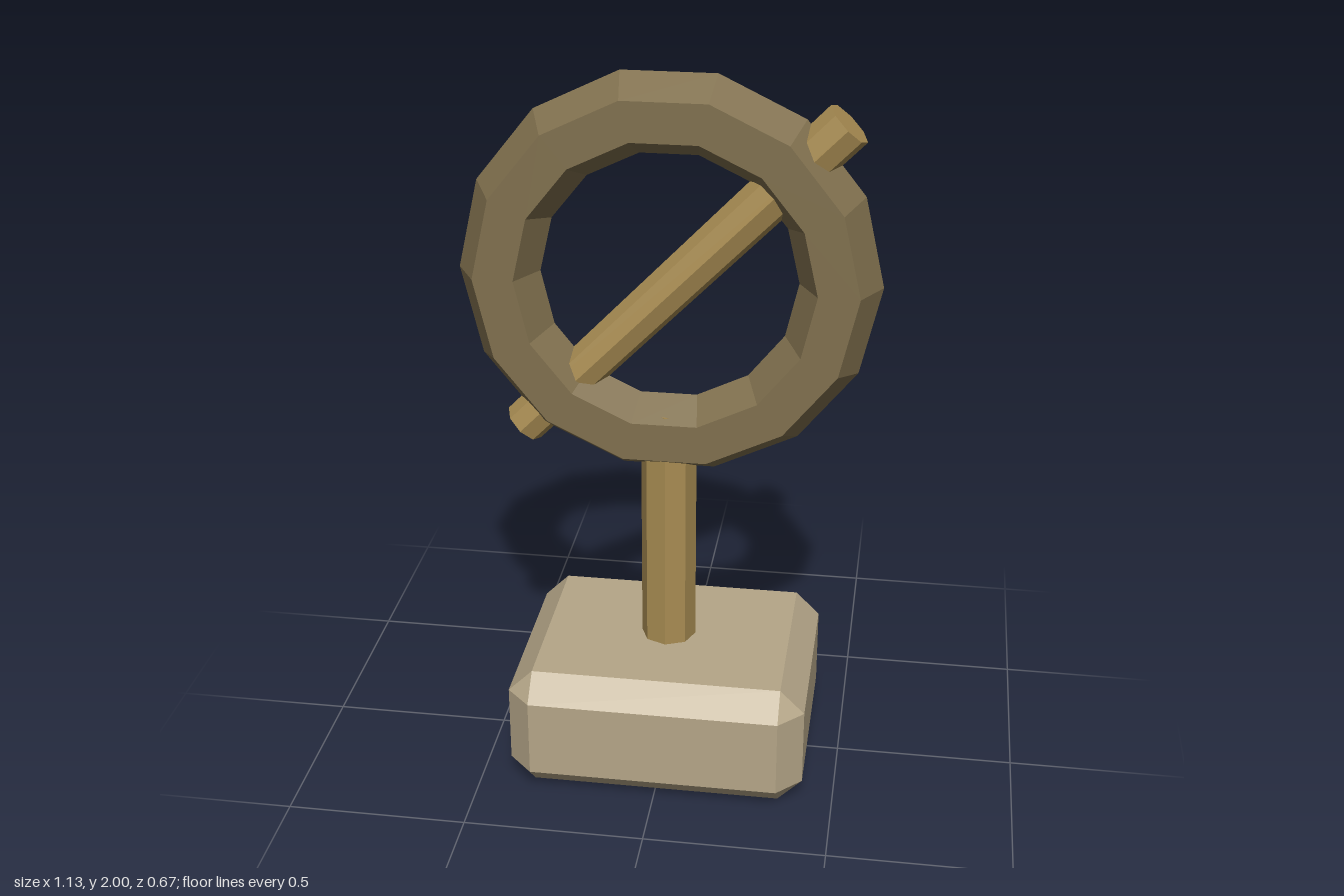
import * as THREE from 'three';
import { ConvexGeometry } from 'three/addons/geometries/ConvexGeometry.js';

function material(name, color) {
  const m = new THREE.MeshStandardMaterial({ color, flatShading: true });
  m.name = name;
  return m;
}

// Box with flat chamfers on every edge and triangular corners
function chamferedBox(w, h, d, c) {
  const points = [];
  for (const sx of [-1, 1]) for (const sy of [-1, 1]) for (const sz of [-1, 1]) {
    for (let axis = 0; axis < 3; axis++) {
      const half = [w / 2, h / 2, d / 2].map((v, i) => (i === axis ? v : v - c));
      points.push(new THREE.Vector3(sx * half[0], sy * half[1], sz * half[2]));
    }
  }
  return new ConvexGeometry(points);
}

export function createModel() {
  const group = new THREE.Group();
  const stone = material('pale stone', 0xb5a688);
  const bronze = material('dark bronze', 0x80704e);
  const brass = material('brass', 0xa88c52);

  const add = (name, geometry, mat, x, y, z) => {
    const mesh = new THREE.Mesh(geometry, mat);
    mesh.name = name;
    mesh.position.set(x, y, z);
    group.add(mesh);
    return mesh;
  };

  // Heavy chamfered foot
  add('base', chamferedBox(0.83, 0.36, 0.67, 0.068), stone, 0, 0.18, 0);

  // Octagonal post, its tip just reaching the inside of the ring
  const postBottom = 0.3, postTop = 1.073;
  add('post', new THREE.CylinderGeometry(0.077, 0.077, postTop - postBottom, 8),
    brass, 0, (postBottom + postTop) / 2, 0);

  // Fourteen-sided ring with a hexagonal section
  add('ring', new THREE.TorusGeometry(0.455, 0.11, 6, 14), bronze, 0, 1.45, 0);

  // Slightly tapered rod piercing the ring diagonally
  const rod = add('crossRod', new THREE.CylinderGeometry(0.067, 0.061, 1.236, 8),
    brass, 0.0275, 1.441, 0);
  rod.rotation.z = -0.77;

  return group;
}
